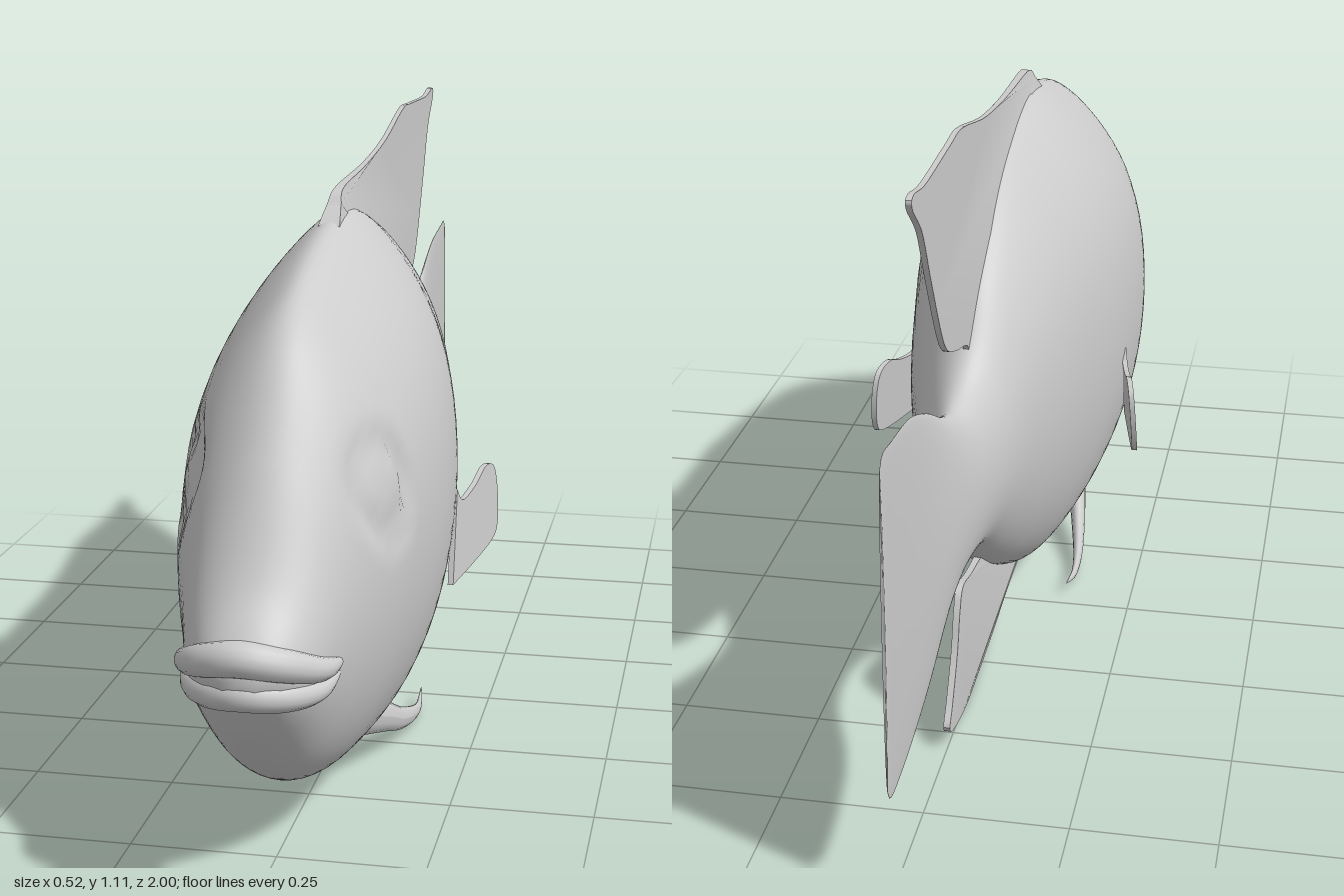
import * as THREE from 'three';
import { toCreasedNormals } from 'three/addons/utils/BufferGeometryUtils.js';

const grey = new THREE.MeshStandardMaterial({ color: 0xcccccc });
grey.name = 'pale grey';

const clamp01 = (v) => THREE.MathUtils.clamp(v, 0, 1);

// Smooth interpolation of one column in a station table sorted by falling z
function sample(table, col, z) {
  let i = 0;
  while (i < table.length - 2 && z < table[i + 1][0]) i++;
  const slope = (k) => {
    const a = table[Math.max(k - 1, 0)], b = table[Math.min(k + 1, table.length - 1)];
    return (b[col] - a[col]) / (b[0] - a[0]);
  };
  const p = table[i], q = table[i + 1], d = q[0] - p[0], t = (z - p[0]) / d;
  const t2 = t * t, t3 = t2 * t;
  return (2 * t3 - 3 * t2 + 1) * p[col] + (t3 - 2 * t2 + t) * d * slope(i)
    + (3 * t2 - 2 * t3) * q[col] + (t3 - t2) * d * slope(i + 1);
}

// Body and tail stations: z, top, bottom, half width
const OUTLINE = [
  [0.985, 0.43, 0.375, 0.03], [0.96, 0.465, 0.345, 0.068], [0.9, 0.535, 0.27, 0.104],
  [0.8, 0.7, 0.175, 0.138], [0.7, 0.835, 0.118, 0.172], [0.6, 0.905, 0.09, 0.197],
  [0.4, 0.968, 0.065, 0.22], [0.2, 0.993, 0.062, 0.212], [0, 0.95, 0.09, 0.178],
  [-0.15, 0.885, 0.16, 0.148], [-0.28, 0.785, 0.245, 0.112], [-0.38, 0.675, 0.315, 0.084],
  [-0.47, 0.635, 0.332, 0.06], [-0.56, 0.655, 0.305, 0.038], [-0.68, 0.715, 0.23, 0.018],
  [-0.8, 0.76, 0.197, 0.009], [-0.93, 0.778, 0.182, 0.005], [-0.98, 0.782, 0.188, 0.004],
  [-0.995, 0.765, 0.21, 0.003],
];

// Lofted body running into the tail fin, with a sunken ring round each eye
function bodyGeometry() {
  const rings = 180, sides = 72, pos = [], index = [];
  const front = OUTLINE[0][0], back = OUTLINE[OUTLINE.length - 1][0];
  for (let i = 0; i <= rings; i++) {
    const z = front + (back - front) * (i / rings);
    const top = sample(OUTLINE, 1, z), bottom = sample(OUTLINE, 2, z), w = sample(OUTLINE, 3, z);
    const mid = bottom + (top - bottom) * 0.49;
    const ridge = 0.45 * clamp01((z + 0.5) / 0.5) * clamp01((0.95 - z) / 0.4);
    for (let j = 0; j < sides; j++) {
      const a = (j / sides) * Math.PI * 2, s = Math.sin(a);
      const y = mid + s * (s > 0 ? top - mid : mid - bottom);
      let x = w * Math.cos(a);
      if (s > 0) x *= 1 - ridge * s ** 4;
      const r = Math.hypot(z - 0.66, y - 0.62);
      const dent = 0.009 * Math.exp(-(((r - 0.072) / 0.02) ** 2)) + 0.004 * clamp01((0.1 - r) / 0.03);
      x -= Math.sign(x) * dent;
      pos.push(x, y, z);
    }
  }
  for (let i = 0; i < rings; i++) {
    for (let j = 0; j < sides; j++) {
      const a = i * sides + j, b = i * sides + (j + 1) % sides, c = a + sides, d = b + sides;
      index.push(a, c, b, b, c, d);
    }
  }
  const nose = pos.length / 3, last = rings * sides;
  pos.push(0, 0.4, 0.99, 0, 0.49, -0.99);
  for (let j = 0; j < sides; j++) {
    const k = (j + 1) % sides;
    index.push(nose, j, k, nose + 1, last + k, last + j);
  }
  const g = new THREE.BufferGeometry();
  g.setAttribute('position', new THREE.Float32BufferAttribute(pos, 3));
  g.setIndex(index);
  g.computeVertexNormals();
  return g;
}

// Thin fin from a side outline in (z, y): a smooth edge closed by a hidden base
function finGeometry(edge, base, thickness, offset = () => 0) {
  const v = ([z, y]) => new THREE.Vector2(-z, y);
  const shape = new THREE.Shape();
  shape.moveTo(-edge[0][0], edge[0][1]);
  shape.splineThru(edge.slice(1).map(v));
  base.forEach(([z, y]) => shape.lineTo(-z, y));
  const g = new THREE.ExtrudeGeometry(shape, { depth: 1, bevelEnabled: false, curveSegments: 5 });
  g.translate(0, 0, -0.5).rotateY(Math.PI / 2);
  const p = g.attributes.position;
  for (let i = 0; i < p.count; i++) {
    const y = p.getY(i), z = p.getZ(i);
    p.setX(i, p.getX(i) * thickness(y, z) + offset(y, z));
  }
  return toCreasedNormals(g, 0.6);
}

// Tube whose rings are resized along its length by radius(t), optionally flattened in x
function taperedTube(points, radius, flatX = 1) {
  const curve = new THREE.CatmullRomCurve3(points.map((p) => new THREE.Vector3(...p)));
  const segs = 40, sides = 14;
  const g = new THREE.TubeGeometry(curve, segs, 1, sides);
  const p = g.attributes.position, v = new THREE.Vector3();
  for (let i = 0; i < p.count; i++) {
    const t = Math.floor(i / (sides + 1)) / segs, c = curve.getPointAt(t);
    v.fromBufferAttribute(p, i).sub(c).multiplyScalar(radius(t));
    v.x *= flatX;
    v.add(c);
    p.setXYZ(i, v.x, v.y, v.z);
  }
  g.computeVertexNormals();
  return g;
}

export function createModel() {
  const fish = new THREE.Group();
  fish.name = 'fish';
  const add = (name, geometry) => {
    const mesh = new THREE.Mesh(geometry, grey);
    mesh.name = name;
    fish.add(mesh);
  };

  add('bodyAndTail', bodyGeometry());

  // Lips, bowed round the snout and fading at the corners
  const lip = (half, r) => taperedTube(
    [...half.map(([x, y, z]) => [-x, y, z]), ...half.slice(0, -1).reverse()],
    (t) => 0.002 + r * Math.sin(Math.PI * t) ** 0.6);
  add('upperLip', lip([[0.125, 0.385, 0.82], [0.106, 0.395, 0.89], [0.06, 0.42, 0.95], [0, 0.433, 0.972]], 0.027));
  add('lowerLip', lip([[0.122, 0.37, 0.82], [0.1, 0.358, 0.885], [0.055, 0.367, 0.945], [0, 0.375, 0.968]], 0.024));

  // Dorsal fin, thicker where it joins the back
  add('dorsalFin', finGeometry(
    [[0.32, 0.975], [0.27, 1.01], [0.22, 1.035], [0, 1.045], [-0.2, 1.065], [-0.4, 1.105], [-0.5, 1.105],
      [-0.68, 1.1], [-0.765, 1.11], [-0.775, 1.09], [-0.71, 1.03], [-0.65, 0.925], [-0.56, 0.785],
      [-0.48, 0.74], [-0.37, 0.705], [-0.355, 0.66]],
    [[-0.25, 0.74], [-0.1, 0.85], [0.1, 0.92]],
    (y, z) => 0.01 + 0.04 * clamp01((1.05 - y) / 0.1) * clamp01((z + 0.3) / 0.4)));

  // Anal fin
  add('analFin', finGeometry(
    [[0.22, 0.068], [0, 0.045], [-0.2, 0.015], [-0.38, 0.004], [-0.5, 0.02], [-0.555, 0.045], [-0.53, 0.085],
      [-0.485, 0.16], [-0.46, 0.23], [-0.43, 0.265], [-0.35, 0.25], [-0.24, 0.235]],
    [[-0.1, 0.2], [0.1, 0.12]],
    (y, z) => 0.012 + 0.02 * clamp01((z + 0.3) / 0.4)));

  // Paired fins
  for (const [side, s] of [['left', 1], ['right', -1]]) {
    add(side + 'PectoralFin', finGeometry(
      [[0.25, 0.32], [0.14, 0.328], [0.04, 0.34], [0, 0.36], [-0.015, 0.42], [-0.005, 0.475],
        [0.04, 0.487], [0.1, 0.467], [0.17, 0.458], [0.195, 0.485]],
      [[0.21, 0.44]],
      () => 0.01,
      (y, z) => s * (0.207 + (0.23 - z) * 0.2 - (y - 0.4) * 0.08)));
    add(side + 'PelvicFin', taperedTube(
      [[0.075, 0.13, 0.43], [0.1, 0.085, 0.32], [0.115, 0.05, 0.24], [0.126, 0.028, 0.16],
        [0.128, 0.02, 0.1], [0.122, 0.03, 0.035]].map(([x, y, z]) => [s * x, y, z]),
      (t) => 0.001 + 0.036 * (1 - t) ** 0.8, 0.6));
  }
  return fish;
}
